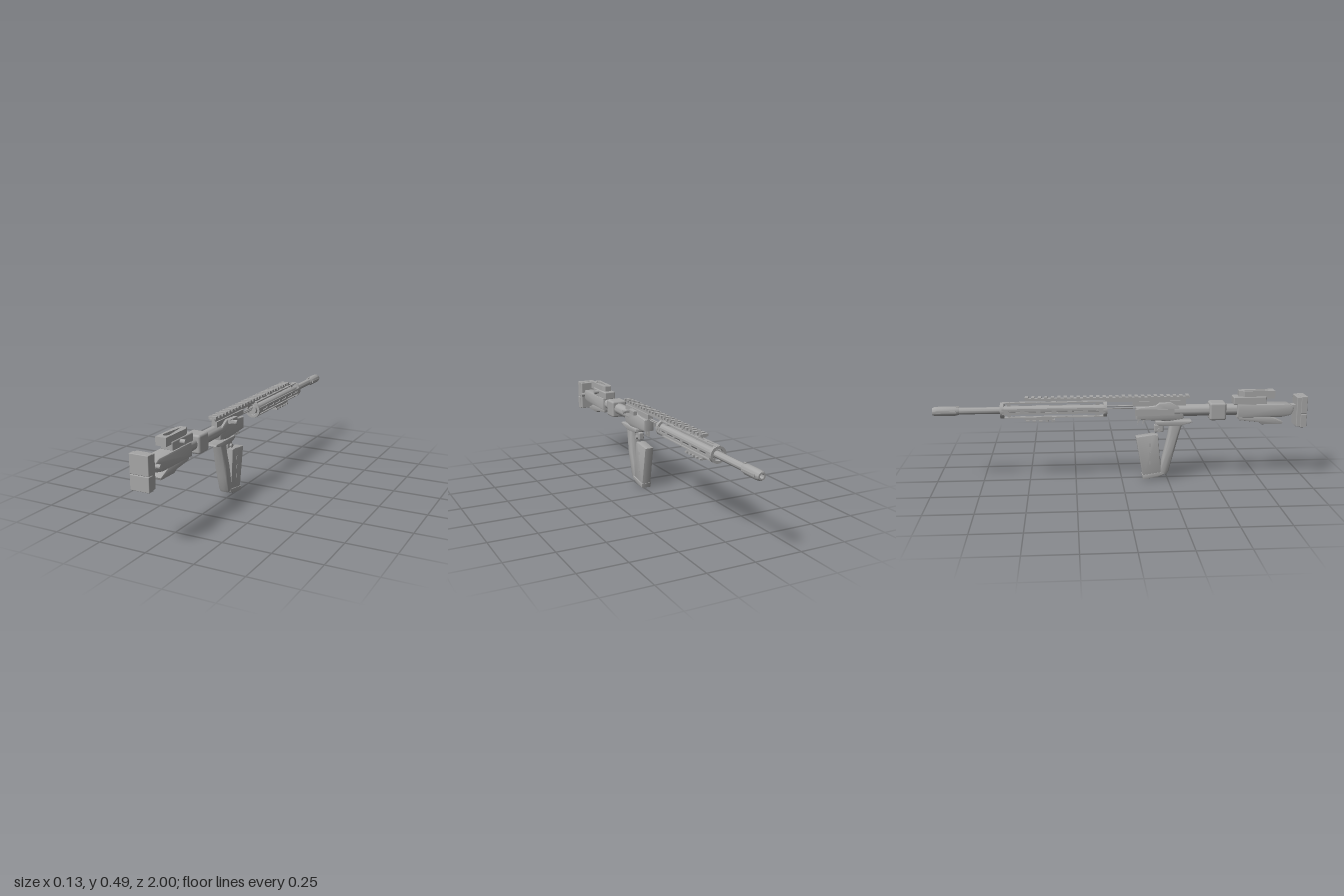
import * as THREE from 'three';
import { toCreasedNormals } from 'three/addons/utils/BufferGeometryUtils.js';
import { RoundedBoxGeometry } from 'three/addons/geometries/RoundedBoxGeometry.js';

const CX = -0.016; // centre line of the body
const BORE = 0.396; // barrel height

export function createModel() {
  const root = new THREE.Group();
  const grey = new THREE.MeshStandardMaterial({ color: 0xa6a6a6 });

  function add(name, geo, parent = root) {
    const mesh = new THREE.Mesh(geo, grey);
    mesh.name = name;
    parent.add(mesh);
    return mesh;
  }
  function group(name) {
    const g = new THREE.Group();
    g.name = name;
    root.add(g);
    return g;
  }
  // box from its limits, optionally with rounded edges
  function box(name, x0, x1, y0, y1, z0, z1, parent, r = 0) {
    const s = [x1 - x0, y1 - y0, z1 - z0];
    const geo = r ? new RoundedBoxGeometry(...s, 2, r) : new THREE.BoxGeometry(...s);
    geo.translate((x0 + x1) / 2, (y0 + y1) / 2, (z0 + z1) / 2);
    return add(name, geo, parent);
  }
  // side outline in (z, y), extruded across x with a bevel
  function side(name, pts, x0, x1, bevel, parent) {
    const shape = new THREE.Shape(pts.map(p => new THREE.Vector2(...p)));
    const depth = x1 - x0 - 2 * bevel;
    const geo = new THREE.ExtrudeGeometry(shape, {
      depth, bevelEnabled: bevel > 0, bevelSize: bevel, bevelThickness: bevel,
      bevelOffset: -bevel, bevelSegments: 2,
    });
    geo.translate(0, 0, -depth / 2).rotateY(-Math.PI / 2).translate((x0 + x1) / 2, 0, 0);
    return add(name, toCreasedNormals(geo, 0.7), parent);
  }
  // turned part along z, profile as [radius, z] from front end to rear end
  function turned(name, profile, x, y, parent) {
    const geo = new THREE.LatheGeometry(profile.map(([r, z]) => new THREE.Vector2(r, z)), 24);
    geo.rotateX(Math.PI / 2).translate(x, y, 0);
    return add(name, toCreasedNormals(geo, 0.6), parent);
  }
  // cylinder across x
  function pin(name, r, x0, x1, y, z, parent) {
    const geo = new THREE.CylinderGeometry(r, r, x1 - x0, 14);
    geo.rotateZ(Math.PI / 2).translate((x0 + x1) / 2, y, z);
    return add(name, geo, parent);
  }
  // body through rounded sections [y, z centre, half depth, half width], bottom to top
  function loft(name, sections, parent) {
    const N = 24, pos = [], idx = [];
    const soft = v => Math.sign(v) * Math.pow(Math.abs(v), 0.5);
    for (const [y, zc, hz, hx] of sections)
      for (let i = 0; i < N; i++) {
        const a = (i / N) * Math.PI * 2;
        pos.push(CX + hx * soft(Math.cos(a)), y, zc + hz * soft(Math.sin(a)));
      }
    const top = (sections.length - 1) * N, c = sections.length * N;
    for (const s of [sections[0], sections.at(-1)]) pos.push(CX, s[0], s[1]);
    for (let i = 0; i < N; i++) {
      const j = (i + 1) % N;
      for (let k = 0; k < top; k += N)
        idx.push(k + i, k + N + i, k + j, k + j, k + N + i, k + N + j);
      idx.push(c, i, j, c + 1, top + j, top + i);
    }
    const geo = new THREE.BufferGeometry();
    geo.setAttribute('position', new THREE.Float32BufferAttribute(pos, 3));
    geo.setIndex(idx);
    return add(name, toCreasedNormals(geo, 0.7), parent);
  }

  // butt: plate with two rear pads
  const butt = group('butt');
  box('buttPlate', -0.062, 0.032, 0.288, 0.452, 0.943, 0.975, butt, 0.004);
  box('upperPad', -0.065, 0.035, 0.36, 0.455, 0.966, 1.0, butt, 0.003);
  box('lowerPad', -0.065, 0.035, 0.285, 0.358, 0.966, 1.0, butt, 0.003);
  box('buttNeck', -0.04, 0.01, 0.355, 0.405, 0.92, 0.95, butt);

  // stock body, cheek rest and lower fairing
  const stock = group('stock');
  side('stockBody', [[0.62, 0.342], [0.87, 0.342], [0.915, 0.352], [0.93, 0.375], [0.925, 0.4],
    [0.9, 0.413], [0.62, 0.415]], -0.057, 0.025, 0.01, stock);
  side('lowerFairing', [[0.63, 0.345], [0.635, 0.325], [0.74, 0.312], [0.76, 0.3], [0.87, 0.3],
    [0.875, 0.312], [0.8, 0.345]], -0.045, 0.013, 0.005, stock);
  box('cheekBase', -0.048, 0.018, 0.41, 0.455, 0.6, 0.78, stock, 0.006);
  const rest = new THREE.Shape([[-0.044, -0.825], [0.013, -0.825], [0.013, -0.66], [0.002, -0.63],
    [-0.033, -0.63], [-0.044, -0.66]].map(p => new THREE.Vector2(...p)));
  rest.holes.push(new THREE.Path([[-0.018, -0.645], [-0.032, -0.78], [-0.016, -0.798], [0, -0.78]]
    .map(p => new THREE.Vector2(...p))));
  const restGeo = new THREE.ExtrudeGeometry(rest, { depth: 0.042, bevelEnabled: false });
  add('cheekRest', restGeo.rotateX(-Math.PI / 2).translate(0, 0.443, 0), stock);
  pin('cheekKnob', 0.011, 0.005, 0.045, 0.44, 0.71, stock);
  pin('stockKnob', 0.011, 0.005, 0.045, 0.383, 0.918, stock);

  // rear tube and collar
  turned('rearTube', [[0, 0.28], [0.032, 0.28], [0.032, 0.65], [0, 0.65]], CX, 0.381);
  box('collar', -0.062, 0.028, 0.33, 0.426, 0.47, 0.56, root, 0.012);

  // receiver
  const receiver = group('receiver');
  side('receiverBody', [[0.075, 0.338], [0.25, 0.326], [0.33, 0.338], [0.335, 0.37], [0.315, 0.4],
    [0.26, 0.43], [0.2, 0.428], [0.18, 0.412], [0.075, 0.402]], -0.045, 0.015, 0.01, receiver);
  box('sidePlate', -0.049, -0.043, 0.36, 0.395, 0.07, 0.28, receiver);
  box('railBase', -0.03, 0.002, 0.408, 0.436, 0.06, 0.345, receiver);
  side('gripPlate', [[0.18, 0.312], [0.2, 0.302], [0.3, 0.298], [0.38, 0.318], [0.375, 0.326],
    [0.18, 0.326]], -0.045, 0.015, 0.003, receiver);
  for (const z of [0.09, 0.118]) // small claws under the front
    side('claw', [[z, 0.345], [z - 0.006, 0.305], [z + 0.012, 0.345]], -0.024, -0.01, 0, receiver);
  box('magazineCatch', -0.03, -0.002, 0.262, 0.305, 0.175, 0.225, receiver, 0.006);
  pin('catchPin', 0.01, -0.04, 0.01, 0.275, 0.2, receiver);

  // charging handle on the left side
  box('handleBracket', 0.01, 0.03, 0.408, 0.43, 0.18, 0.255, receiver);
  box('handleArm', 0.025, 0.058, 0.412, 0.426, 0.236, 0.256, receiver);
  pin('handleKnob', 0.011, 0.05, 0.065, 0.419, 0.246, receiver);

  // grip and magazine
  loft('grip', [[0.03, 0.228, 0.02, 0.026], [0.045, 0.23, 0.026, 0.029], [0.12, 0.248, 0.027, 0.032],
    [0.18, 0.263, 0.028, 0.033], [0.25, 0.28, 0.03, 0.029], [0.305, 0.292, 0.034, 0.027]]);
  const magazine = group('magazine');
  side('magazineBody', [[0.115, 0.015], [0.215, 0.032], [0.195, 0.25], [0.17, 0.253], [0.075, 0.24]],
    -0.042, 0.01, 0.006, magazine);
  side('magazineFoot', [[0.115, 0], [0.2, 0.012], [0.232, 0.028], [0.228, 0.044], [0.11, 0.026]],
    -0.044, 0.014, 0.005, magazine);
  for (const y of [0.095, 0.145, 0.195])
    for (const x of [-0.043, 0.009])
      box('witnessMark', x - 0.001, x + 0.003, y - 0.01, y + 0.01, 0.147, 0.156, magazine);

  // toothed top rail
  const rail = group('topRail');
  box('railBar', -0.03, -0.002, 0.447, 0.458, -0.51, 0.365, rail);
  box('railSupport', -0.026, -0.006, 0.434, 0.449, -0.09, 0.345, rail);
  for (let i = 0; i < 26; i++) {
    const z = 0.352 - i * 0.0343;
    box('railTooth', -0.038, 0.006, 0.453, 0.466, z - 0.009, z + 0.009, rail);
  }

  // thin rods between receiver and handguard
  for (const [x, y] of [[-0.016, 0.41], [-0.022, 0.398]])
    turned('linkRod', [[0, -0.1], [0.0035, -0.1], [0.0035, 0.1], [0, 0.1]], x, y);

  // handguard: inner tube, two rings and four slotted strips
  const guard = group('handguard');
  turned('innerTube', [[0, -0.63], [0.022, -0.63], [0.022, -0.08], [0, -0.08]], CX, BORE, guard);
  for (const z of [-0.635, -0.09])
    turned('guardRing', [[0.03, z - 0.01], [0.043, z - 0.01], [0.043, z + 0.01], [0.03, z + 0.01],
      [0.03, z - 0.01]], CX, BORE, guard);
  const strip = new THREE.Shape([[-0.015, 0.09], [0.015, 0.09], [0.015, 0.635], [-0.015, 0.635]]
    .map(p => new THREE.Vector2(...p)));
  for (let i = 0; i < 6; i++) {
    const a = 0.125 + i * 0.083;
    strip.holes.push(new THREE.Path([[-0.005, a], [-0.005, a + 0.058], [0.005, a + 0.058], [0.005, a]]
      .map(p => new THREE.Vector2(...p))));
  }
  for (let i = 0; i < 4; i++) {
    const geo = new THREE.ExtrudeGeometry(strip, { depth: 0.005, bevelEnabled: false });
    geo.rotateX(-Math.PI / 2).translate(0, 0.037, 0).rotateZ(i * Math.PI / 2).translate(CX, BORE, 0);
    add('guardStrip', geo, guard);
  }
  for (const z of [-0.6, -0.13]) { // spokes holding the rings
    box('spoke', CX - 0.038, CX + 0.038, BORE - 0.004, BORE + 0.004, z - 0.01, z + 0.01, guard);
    box('spoke', CX - 0.004, CX + 0.004, BORE - 0.038, BORE + 0.038, z - 0.01, z + 0.01, guard);
  }

  // short lower rail
  const lowerRail = group('lowerRail');
  box('lowerRailBar', -0.028, -0.004, 0.341, 0.357, -0.52, -0.36, lowerRail);
  for (let i = 0; i < 5; i++)
    box('lowerRailTooth', -0.036, 0.004, 0.334, 0.343, -0.511 + i * 0.034, -0.493 + i * 0.034, lowerRail);

  // barrel and muzzle
  turned('barrel', [[0, -0.9], [0.018, -0.9], [0.018, -0.62], [0, -0.62]], CX, BORE);
  turned('muzzle', [[0.011, -0.95], [0.011, -1], [0.019, -1], [0.023, -0.992], [0.025, -0.97],
    [0.025, -0.885], [0.019, -0.86], [0, -0.86]], CX, BORE);
  turned('boreEnd', [[0, -0.951], [0.012, -0.951], [0.012, -0.948], [0, -0.948]], CX, BORE);
  for (const s of [-1, 1]) // raised muzzle ribs
    box('muzzleRib', CX + s * 0.023 - 0.004, CX + s * 0.023 + 0.004, BORE - 0.006, BORE + 0.006, -0.98, -0.875);
  box('frontStud', CX - 0.004, CX + 0.004, BORE + 0.014, BORE + 0.027, -0.875, -0.86);

  return root;
}
